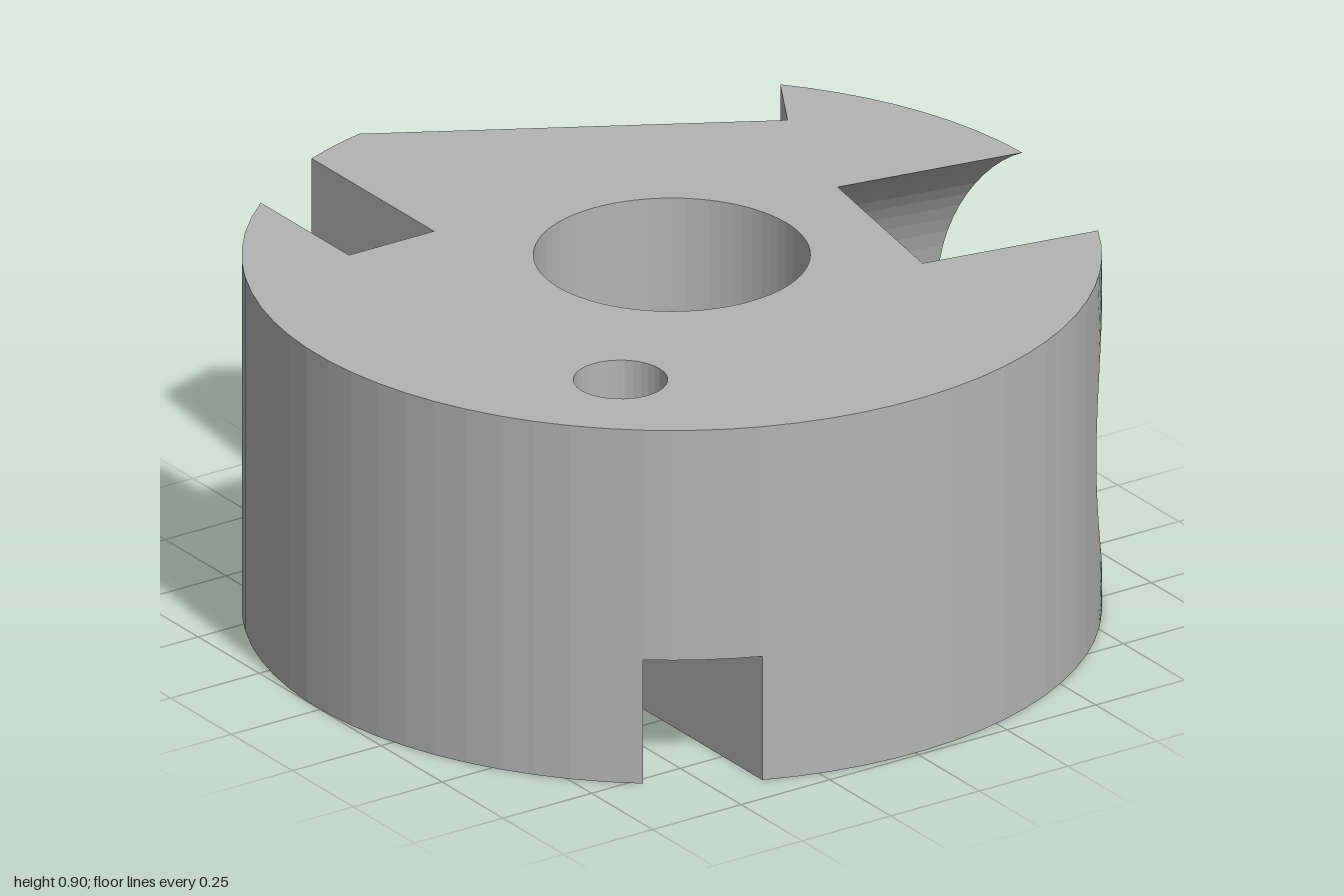
import * as THREE from 'three';

const H = 0.9, SLOT_H = 0.315;            // disc height, height of the bottom slot
const XL = -0.62, XR = -0.38, ZB = -0.423; // slot sides, back notch floor
const rad = THREE.MathUtils.degToRad, deg = THREE.MathUtils.radToDeg;

// Points [x, z] on a circle; angle runs from +x towards +z
function arc(a, b, n = Math.max(1, Math.ceil(Math.abs(b - a) / 5)), r = 1, cx = 0, cz = 0) {
  return Array.from({ length: n + 1 }, (_, i) => {
    const t = rad(a + (b - a) * i / n);
    return [cx + r * Math.cos(t), cz + r * Math.sin(t)];
  });
}

// Round side pocket: horizontal cylinder turned by TILT, centred at mid height
const TILT = 10, R = 0.509, SHIFT = 0.048, DEPTH = 0.51;
const half = (y) => Math.sqrt(R * R - (y - H / 2) ** 2);
const mouth = (y, s) => TILT + deg(Math.asin(SHIFT + s * half(y)));
const floorCorner = (y, s) => {
  const c = Math.cos(rad(TILT)), k = Math.sin(rad(TILT)), p = SHIFT + s * half(y);
  return [DEPTH * c - p * k, DEPTH * k + p * c];
};
const PHI = Math.asin(H / 2 / R);
const pocketYs = Array.from({ length: 27 }, (_, i) => H / 2 + R * Math.sin(PHI * (i / 13 - 1)));

// Upright wall swept through heights ys; the path keeps the solid on its inner side
function wall(pathAt, ys) {
  const pos = [], idx = [];
  let n = 0;
  ys.forEach((y, j) => {
    const path = pathAt(y);
    n = path.length;
    path.forEach(([x, z], i) => {
      pos.push(x, y, z);
      if (j && i) {
        const d = j * n + i, c = d - 1, b = d - n, a = b - 1;
        idx.push(a, c, b, b, c, d);
      }
    });
  });
  const g = new THREE.BufferGeometry();
  g.setAttribute('position', new THREE.Float32BufferAttribute(pos, 3));
  g.setIndex(idx);
  const flat = g.toNonIndexed();
  flat.computeVertexNormals();
  return flat;
}
const straight = (path, y0, y1) => wall(() => path, [y0, y1]);

// Level face at height y, facing up or down
function cap(points, y, up, holes = []) {
  const vec = (list) => list.map(([x, z]) => new THREE.Vector2(x, z));
  const shape = new THREE.Shape(vec(points));
  shape.holes = holes.map((h) => new THREE.Path(vec(h.slice(0, -1))));
  const g = new THREE.ShapeGeometry(shape).rotateX(Math.PI / 2).translate(0, y, 0);
  if (up) {
    g.setIndex(Array.from(g.index.array).reverse());
    g.computeVertexNormals();
  }
  return g;
}

export function createModel() {
  const group = new THREE.Group();
  const body = new THREE.Group();
  body.name = 'notchedDisc';
  body.position.z = -0.012;
  group.add(body);

  const metal = new THREE.MeshStandardMaterial({ color: 0xb4b4b4 });
  metal.name = 'greyMetal';
  const add = (name, geometry) => {
    const mesh = new THREE.Mesh(geometry, metal);
    mesh.name = name;
    body.add(mesh);
  };

  // Angles where the rim is interrupted
  const aR = deg(Math.acos(XR)), aL = deg(Math.acos(XL));
  const bL = 360 - aL, bR = 360 - aR, flatStart = 257.9, flatEnd = -40.9;
  const flatCorner = [0.655, -0.478];
  const bore = arc(360, 0, 72, 0.322);
  const pinHole = arc(360, 0, 36, 0.11, -0.5, 0.517);
  const leftRim = arc(aL, bL), backRim = arc(bR, flatStart);
  const rightRim = arc(flatEnd, -20);
  const slotFront = arc(aR, aL);

  // Outer rim
  add('rimBesidePocketFront', wall((y) => arc(mouth(y, 1), 45, 4), pocketYs));
  add('rimFront', straight(arc(45, aR), 0, H));
  add('rimAboveSlot', straight(slotFront, SLOT_H, H));
  add('rimLeft', straight(leftRim, 0, H));
  add('rimBack', straight(backRim, 0, H));
  add('rimRight', straight(rightRim, 0, H));
  add('rimBesidePocketBack', wall((y) => arc(-20, mouth(y, -1), 4), pocketYs));

  // Flat cut with its short step
  add('flatCut', straight([backRim.at(-1), flatCorner, rightRim[0]], 0, H));

  // Back notch and the slot running along the underside
  add('backNotch', straight([leftRim.at(-1), [XL, ZB], [XR, ZB], backRim[0]], SLOT_H, H));
  add('slotLeftSide', straight([leftRim.at(-1), leftRim[0]], 0, SLOT_H));
  add('slotRightSide', straight([slotFront[0], backRim[0]], 0, SLOT_H));
  add('slotCeiling', cap([...slotFront, [XL, ZB], [XR, ZB]], SLOT_H, false, [pinHole]));

  // Round side pocket
  const rimPoint = (y, s) => arc(mouth(y, s), mouth(y, s), 1)[0];
  add('pocketBackWall', wall((y) => [rimPoint(y, -1), floorCorner(y, -1)], pocketYs));
  add('pocketFloor', wall((y) => [floorCorner(y, -1), floorCorner(y, 1)], pocketYs));
  add('pocketFrontWall', wall((y) => [floorCorner(y, 1), rimPoint(y, 1)], pocketYs));

  // Holes
  add('centreBore', straight(bore, 0, H));
  add('pinHole', straight(pinHole, SLOT_H, H));

  // Top and bottom faces
  const rightSide = (y) => [
    ...backRim, flatCorner, ...rightRim, ...arc(-20, mouth(y, -1), 4).slice(1),
    floorCorner(y, -1), floorCorner(y, 1), ...arc(mouth(y, 1), 45, 4).slice(0, -1),
  ];
  const frontRim = arc(45, aR);
  add('topFace', cap([
    ...rightSide(H), ...frontRim, ...slotFront.slice(1), ...leftRim.slice(1), [XL, ZB], [XR, ZB],
  ], H, true, [bore, pinHole]));
  add('bottomFaceMain', cap([...rightSide(0), ...frontRim], 0, false, [bore]));
  add('bottomFaceLeft', cap(leftRim, 0, false));

  return group;
}
